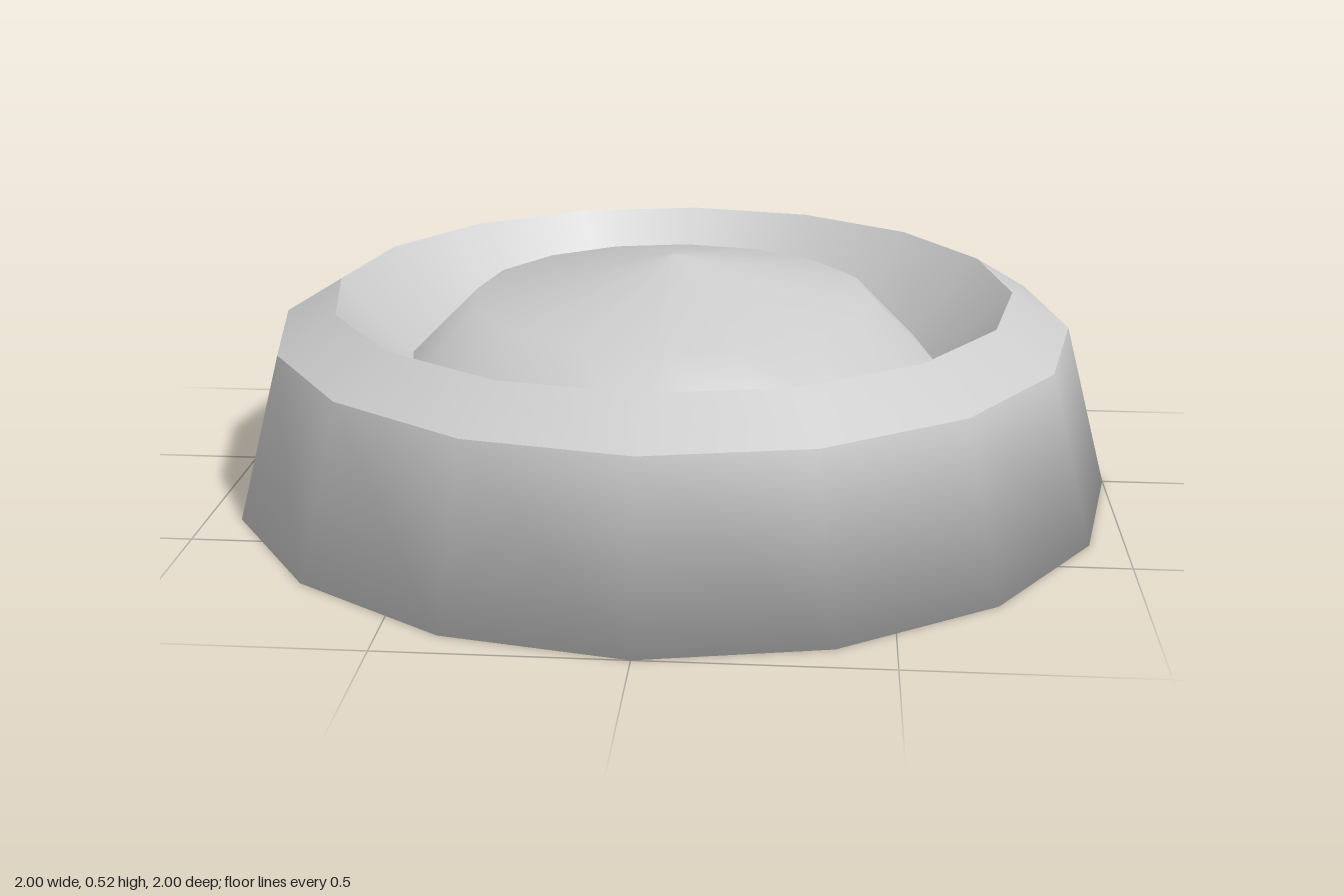
import * as THREE from 'three';

const SIDES = 16;

export function createModel() {
  const model = new THREE.Group();
  model.name = 'filledBowl';
  const material = new THREE.MeshStandardMaterial({ color: 0xcccccc });

  // Revolves a profile of [radius, height] points; separate parts keep creases sharp
  function ring(name, profile) {
    const points = profile.map(([r, y]) => new THREE.Vector2(r, y));
    const mesh = new THREE.Mesh(new THREE.LatheGeometry(points, SIDES), material);
    mesh.name = name;
    model.add(mesh);
    return mesh;
  }

  // Base and tapered outer wall, shaded smoothly around the bottom edge
  const shell = ring('outerShell', [[0, 0], [1, 0], [0.9, 0.37]]);
  const { position, normal } = shell.geometry.attributes;
  for (let i = 0; i < position.count; i++) {
    if (position.getY(i) < 0.001) {
      normal.setXYZ(i, position.getX(i) * 0.8, -0.6, position.getZ(i) * 0.8);
    }
  }

  // Sloping rim
  ring('rim', [[0.9, 0.37], [0.77, 0.45]]);

  // Inner wall sloping down to the filling
  ring('innerWall', [[0.77, 0.45], [0.608, 0.275]]);

  // Low domed filling
  ring('filling', [[0.608, 0.275], [0.455, 0.43], [0, 0.525]]);

  return model;
}
